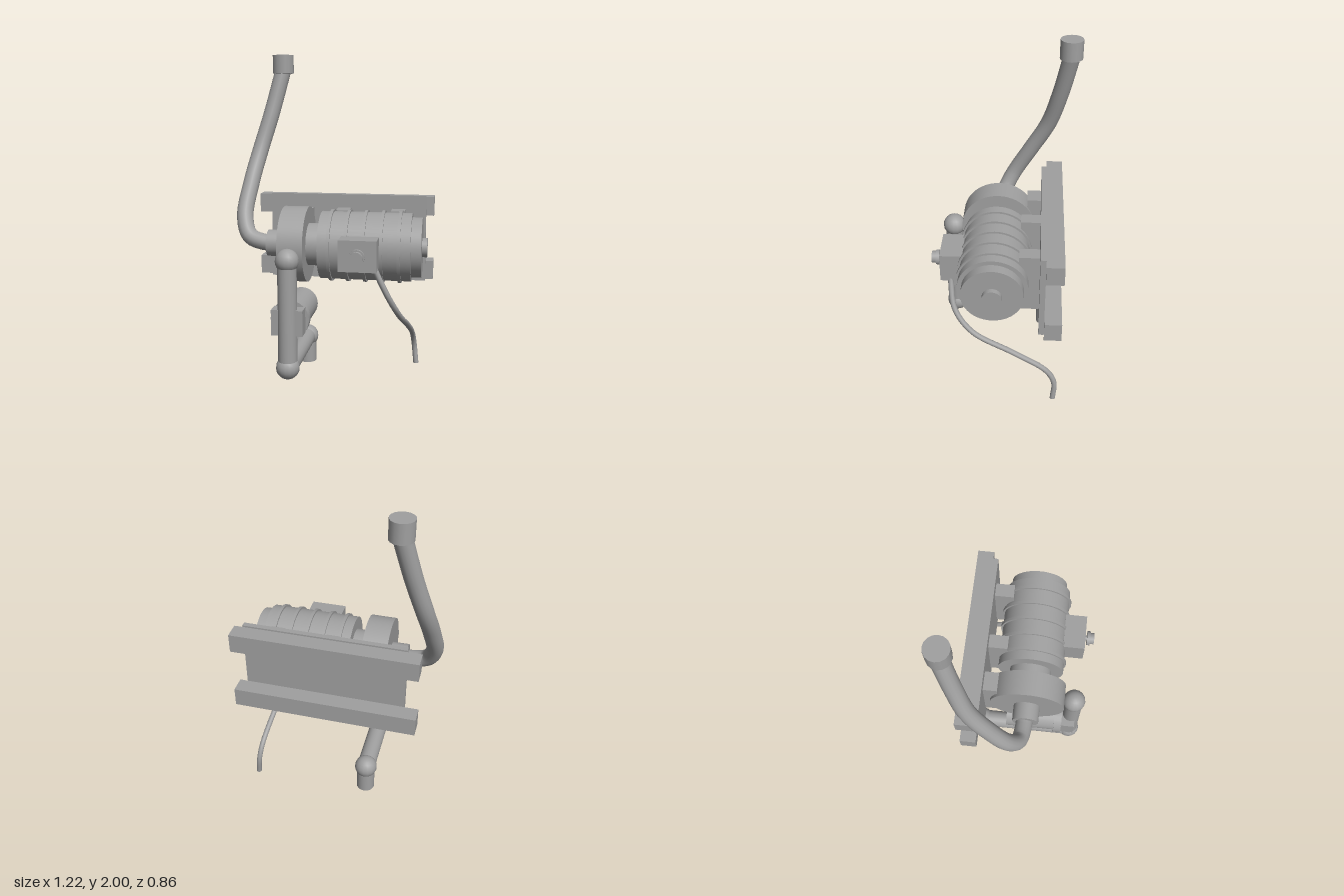
import * as THREE from 'three';

export function createModel() {
  const model = new THREE.Group();
  const grey = new THREE.MeshStandardMaterial({ color: 0xa0a0a0 });
  grey.name = 'machine grey';

  const add = (name, geometry, x = 0, y = 0, z = 0) => {
    const mesh = new THREE.Mesh(geometry, grey);
    mesh.name = name;
    mesh.position.set(x, y, z);
    model.add(mesh);
    return mesh;
  };

  // Box given by its extents on each axis
  const box = (name, [x0, x1], [y0, y1], [z0, z1]) =>
    add(name, new THREE.BoxGeometry(x1 - x0, y1 - y0, z1 - z0),
      (x0 + x1) / 2, (y0 + y1) / 2, (z0 + z1) / 2);

  // Cylinder between two points
  const rod = (name, from, to, r, sides = 32) => {
    const a = new THREE.Vector3(...from), b = new THREE.Vector3(...to);
    const dir = b.clone().sub(a);
    const mid = a.clone().add(b).multiplyScalar(0.5);
    const mesh = add(name, new THREE.CylinderGeometry(r, r, dir.length(), sides), mid.x, mid.y, mid.z);
    mesh.quaternion.setFromUnitVectors(new THREE.Vector3(0, 1, 0), dir.normalize());
    return mesh;
  };

  // Smooth capped hose through points
  const hose = (name, points, r, sides) => {
    const curve = new THREE.CatmullRomCurve3(points.map(p => new THREE.Vector3(...p)));
    add(name, new THREE.TubeGeometry(curve, 48, r, sides));
    for (const [t, s] of [[0, -1], [1, 1]]) {
      const p = curve.getPointAt(t);
      const end = add(name + 'End', new THREE.CircleGeometry(r, sides), p.x, p.y, p.z);
      end.quaternion.setFromUnitVectors(new THREE.Vector3(0, 0, 1), curve.getTangentAt(t).multiplyScalar(s));
    }
  };

  // Wall plate, rails and standoffs
  box('backPlate', [-0.43, 0.555], [0.588, 1.128], [-0.247, -0.215]);
  box('lowerRail', [-0.515, 0.604], [0.592, 0.71], [-0.347, -0.247]);
  box('upperRail', [-0.515, 0.604], [1.0, 1.118], [-0.347, -0.247]);
  for (const [x, front] of [[-0.212, -0.13], [0.043, -0.097], [0.385, -0.097]])
    box('mountBlock', [x - 0.042 - (x < 0 ? 0.016 : 0), x + 0.042 + (x < 0 ? 0.016 : 0)],
      [0.67, 1.043], [-0.215, front]);

  // Motor and pump stages along one horizontal axis
  const AY = 0.855, AZ = 0.05;
  const stage = (name, x0, x1, r) => rod(name, [x0, AY, AZ], [x1, AY, AZ], r, 48);
  stage('outletStub', -0.388, -0.27, 0.08);
  stage('pumpHousing', -0.287, -0.135, 0.228);
  stage('pumpAdapter', -0.14, -0.05, 0.128);
  stage('motorBody', -0.055, 0.485, 0.203);
  stage('motorEndBell', 0.48, 0.545, 0.178);
  stage('shaftCap', 0.54, 0.575, 0.057);
  for (let i = 0; i < 5; i++) {
    const x = 0.01 + i * 0.102;
    stage('motorRib', x - 0.009, x + 0.009, 0.215);
  }

  // Junction box with knob
  box('junctionBox', [0.088, 0.306], [0.765, 0.945], [0.237, 0.37]);
  rod('knobStem', [0.197, AY, 0.36], [0.197, AY, 0.39], 0.015, 16);
  rod('knobBase', [0.197, AY, 0.383], [0.197, AY, 0.403], 0.045, 24);
  rod('knobTip', [0.197, AY, 0.4], [0.197, AY, 0.428], 0.036, 24);

  // Power cable
  hose('powerCable', [[0.285, 0.79, 0.31], [0.305, 0.74, 0.308], [0.37, 0.6, 0.285], [0.425, 0.47, 0.18],
    [0.46, 0.34, -0.07], [0.482, 0.22, -0.27], [0.492, 0.13, -0.322], [0.505, 0.005, -0.318]], 0.017, 10);

  // Discharge hose and its end cap
  hose('dischargeHose', [[-0.36, 0.853, 0.045], [-0.42, 0.858, 0.043], [-0.51, 0.89, 0.028],
    [-0.557, 1.0, -0.03], [-0.545, 1.2, -0.145], [-0.51, 1.4, -0.25],
    [-0.45, 1.63, -0.315], [-0.385, 1.9, -0.37]], 0.051, 16);
  rod('hoseCap', [-0.382, 1.885, -0.366], [-0.382, 2, -0.366], 0.068, 16);

  // Suction pipework with round elbows
  const PX = -0.21, PZ = 0.338, EZ = -0.263, LY = 0.175;
  const pipe = (name, a, b) => rod(name, a, b, 0.056, 24);
  pipe('intakeRiser', [PX, LY, PZ], [PX, 0.81, PZ]);
  pipe('intakeRun', [PX, LY, PZ], [PX, LY, EZ]);
  pipe('intakeFoot', [PX, LY, EZ], [PX, 0.005, EZ]);
  for (const [y, z] of [[0.81, PZ], [LY, PZ], [LY, EZ]])
    add('pipeElbow', new THREE.SphereGeometry(0.07, 16, 12), PX, y, z);

  // Strainer canister beside the riser
  rod('strainerCanister', [PX, 0.447, -0.083], [PX, 0.447, 0.26], 0.101);
  rod('strainerCollar', [PX, 0.447, 0.23], [PX, 0.447, 0.278], 0.115);
  box('strainerBlock', [-0.302, -0.117], [0.372, 0.524], [0.275, 0.363]);

  return model;
}
